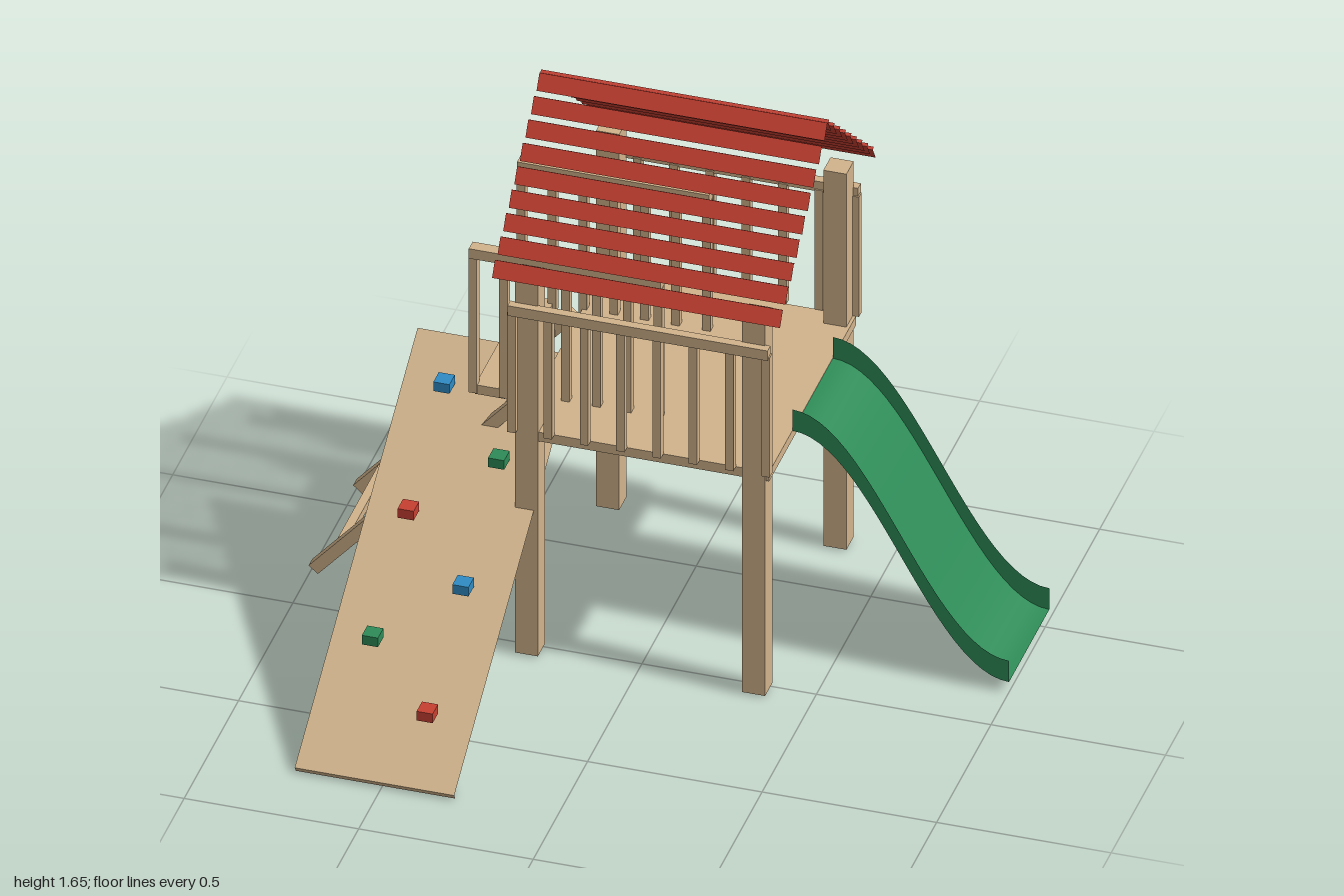
import * as THREE from 'three';

const mat = (name, color) => Object.assign(new THREE.MeshStandardMaterial({ color }), { name });

export function createModel() {
  const wood = mat('wood', 0xd2b48c);
  const red = mat('red', 0xc84032);
  const green = mat('green', 0x2e8b57);
  const blue = mat('blue', 0x2f8cc4);
  const slideGreen = mat('slideGreen', 0x2e8b57);
  slideGreen.side = THREE.DoubleSide;

  const model = new THREE.Group();
  model.name = 'playhouse';
  const MID = -0.349; // z of the tower's centre line

  function add(name, geometry, material, x = 0, y = 0, z = 0) {
    const mesh = new THREE.Mesh(geometry, material);
    mesh.name = name;
    mesh.position.set(x, y, z);
    model.add(mesh);
    return mesh;
  }
  // Box given by its extents
  const box = (name, material, x0, x1, y0, y1, z0, z1) =>
    add(name, new THREE.BoxGeometry(x1 - x0, y1 - y0, z1 - z0), material,
      (x0 + x1) / 2, (y0 + y1) / 2, (z0 + z1) / 2);
  // Board without end caps on its x sides
  function openBoard(w, h, d) {
    const g = new THREE.BoxGeometry(w, h, d);
    g.setIndex(Array.from(g.index.array).slice(12));
    g.clearGroups();
    return g;
  }

  // Platform and landing plank
  box('deck', wood, -0.345, 0.38, 0.715, 0.745, -0.75, 0.05);
  box('landingPlank', wood, -0.515, -0.43, 0.715, 0.745, -0.58, -0.12);

  for (const side of [-1, 1]) {
    // Corner posts
    for (const x of [-0.313, 0.338]) {
      const z = MID + side * 0.374;
      box('post', wood, x - 0.033, x + 0.033, 0.01, 1.25, z - 0.033, z + 0.033);
    }
    // Front and back railings
    const rz = MID + side * 0.411;
    box('railingCap', wood, -0.36, 0.385, 1.133, 1.166, rz + side * 0.005 - 0.013, rz + side * 0.005 + 0.013);
    for (let i = 0; i < 8; i++) {
      const x = -0.355 + i * 0.104 + 0.004;
      box('railingBaluster', wood, x - 0.012, x + 0.012, 0.745, 1.14, rz - 0.012, rz + 0.012);
    }
    // Handrails leading in from the ladder
    const hz = MID + side * 0.222;
    box('handrailCap', wood, -0.53, 0.02, 1.166, 1.198, hz - 0.018, hz + 0.018);
    for (let i = 0; i < 7; i++) {
      const x = -0.521 + i * 0.0885;
      box('handrailBaluster', wood, x - 0.012, x + 0.012, 0.72, 1.17, hz - 0.012, hz + 0.012);
    }
  }

  // Ladder
  const foot = new THREE.Vector2(-0.982, 0.034), head = new THREE.Vector2(-0.37, 0.73);
  const run = head.clone().sub(foot);
  for (const side of [-1, 1]) {
    const c = foot.clone().add(head).multiplyScalar(0.5);
    add('ladderRail', new THREE.BoxGeometry(run.length(), 0.035, 0.033), wood,
      c.x, c.y, MID - 0.002 + side * 0.205).rotation.z = run.angle();
  }
  for (let i = 0; i < 7; i++) {
    const p = foot.clone().addScaledVector(run, (0.072 + i * 0.08) / run.x);
    add('ladderRung', new THREE.BoxGeometry(0.025, 0.025, 0.39), wood, p.x, p.y, MID - 0.002);
  }

  // Roof: overlapping tilted slats on both slopes
  for (const side of [-1, 1]) {
    for (let i = 0; i < 9; i++) {
      const slat = add('roofSlat', openBoard(0.825, 0.01, 0.05), red,
        0.011, 1.274 + i * 0.0442, MID - 0.006 + side * (0.427 - i * 0.0512));
      slat.rotation.x = side * THREE.MathUtils.degToRad(58);
    }
  }

  // Climbing ramp
  const angle = Math.atan2(0.722, 1.13);
  const ramp = add('climbingRamp', openBoard(0.457, 0.02, 1.342), wood, -0.52, 0.374, 0.22);
  ramp.rotation.x = angle;

  // Climbing holds
  const holdColours = [red, green, blue];
  for (let i = 0; i < 6; i++) {
    add('climbingHold', new THREE.BoxGeometry(0.046, 0.03, 0.05), holdColours[i % 3],
      i % 2 ? -0.625 : -0.417, 0.17 + i * 0.103, 0.635 - i * 0.1645);
  }

  // Slide: U-shaped sheet swept along an S-curve
  const N = 24, Z0 = -0.537, Z1 = -0.166, WALL = 0.07;
  const strip = (name, section) => {
    const pos = [], idx = [];
    for (let i = 0; i <= N; i++) {
      const t = i / N, x = 0.38 + 0.62 * t;
      const y = 0.038 + 0.705 * (1 + Math.cos(Math.PI * t)) / 2;
      for (const [z, dy] of section) pos.push(x, y + dy, z);
      if (i < N) {
        const a = i * 2;
        idx.push(a, a + 1, a + 2, a + 1, a + 3, a + 2);
      }
    }
    const g = new THREE.BufferGeometry();
    g.setAttribute('position', new THREE.Float32BufferAttribute(pos, 3));
    g.setIndex(idx);
    g.computeVertexNormals();
    add(name, g, slideGreen);
  };
  strip('slideBed', [[Z0, 0], [Z1, 0]]);
  strip('slideWallBack', [[Z0, WALL], [Z0, 0]]);
  strip('slideWallFront', [[Z1, 0], [Z1, WALL]]);

  return model;
}
